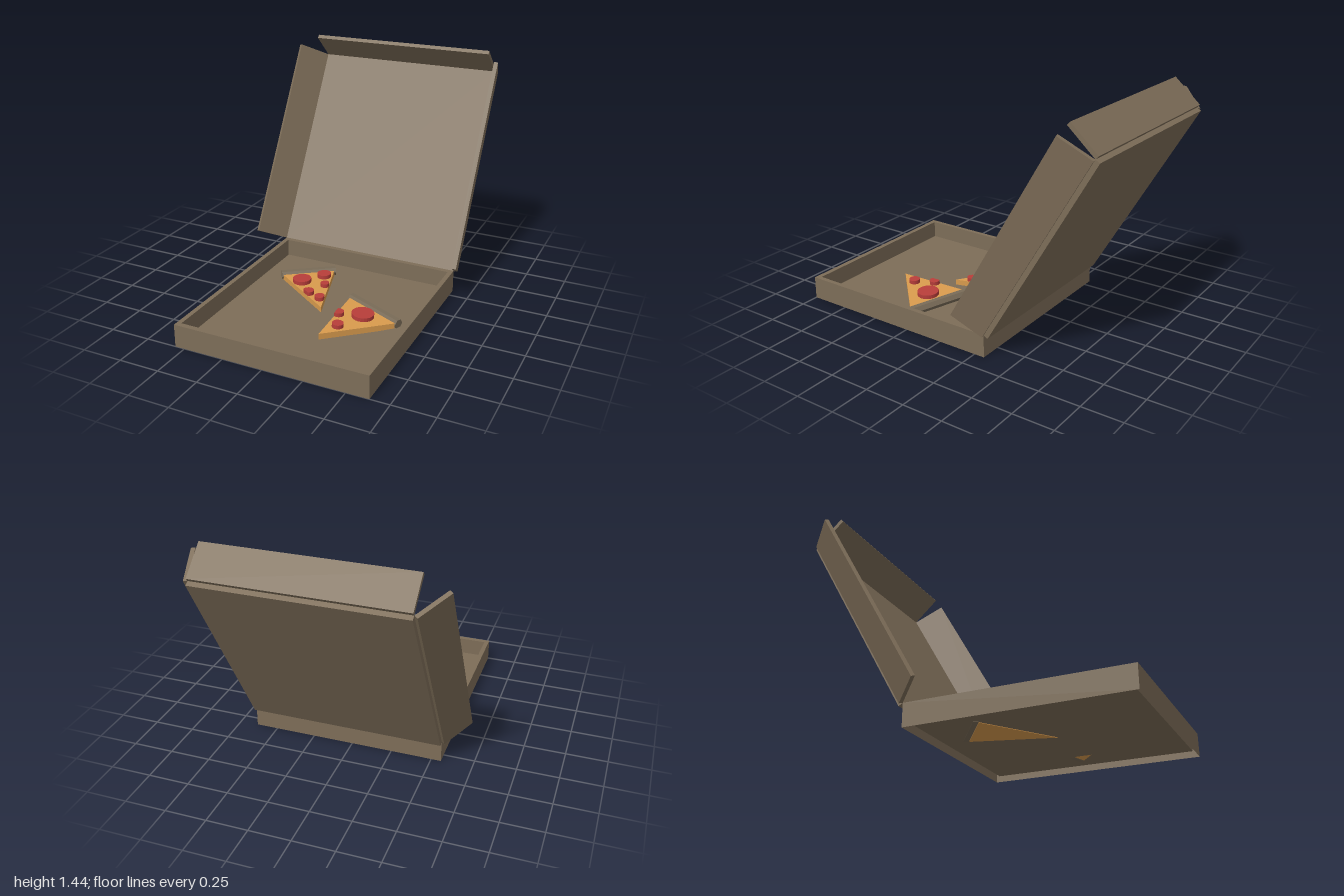
import * as THREE from 'three';

const mat = (name, color) => {
  const m = new THREE.MeshStandardMaterial({ color, flatShading: true, side: THREE.DoubleSide });
  m.name = name;
  return m;
};

const W = 1.195, D = 1.315, WALL = 0.14, FLOOR = 0.03, CX = 0.0375;
const FLAP = 0.215, FLAP_T = 0.025;
const rad = THREE.MathUtils.degToRad;

function add(parent, name, geometry, material, x = 0, y = 0, z = 0) {
  const mesh = new THREE.Mesh(geometry, material);
  mesh.name = name;
  mesh.position.set(x, y, z);
  parent.add(mesh);
  return mesh;
}

function pivot(parent, name, x, y, z) {
  const g = new THREE.Group();
  g.name = name;
  g.position.set(x, y, z);
  parent.add(g);
  return g;
}

// Flat plate from [x, z] points, rising in y
function plate(points, height) {
  const shape = new THREE.Shape(points.map(([x, z]) => new THREE.Vector2(x, -z)));
  return new THREE.ExtrudeGeometry(shape, { depth: height, bevelEnabled: false }).rotateX(-Math.PI / 2);
}

// Circle whose points are pushed back inside the triangle's edges
function clippedCircle(cx, cz, r, tri) {
  const mx = (tri[0][0] + tri[1][0] + tri[2][0]) / 3;
  const mz = (tri[0][1] + tri[1][1] + tri[2][1]) / 3;
  const points = [];
  for (let i = 0; i < 24; i++) {
    const a = (i / 24) * Math.PI * 2;
    let x = cx + r * Math.cos(a), z = cz + r * Math.sin(a);
    tri.forEach(([ax, az], k) => {
      const [bx, bz] = tri[(k + 1) % 3];
      const len = Math.hypot(bx - ax, bz - az);
      let nx = (bz - az) / len, nz = (ax - bx) / len;
      if ((mx - ax) * nx + (mz - az) * nz > 0) { nx = -nx; nz = -nz; }
      const d = (x - ax) * nx + (z - az) * nz;
      if (d > 0) { x -= d * nx; z -= d * nz; }
    });
    points.push([x, z]);
  }
  return points;
}

function addSlice(parent, name, { at, tilt, tri, crust, toppings }, mats) {
  const [px, py, pz] = at;
  const g = pivot(parent, name, px, py, pz);
  g.rotation.z = tilt;
  const local = ([x, z]) => [x - px, z - pz];
  const t = tri.map(local);
  add(g, 'cheeseWedge', plate(t, 0.037), mats.cheese);

  // Six-sided crust roll along the wide end
  const [a, b] = crust.map(local);
  const dx = b[0] - a[0], dz = b[1] - a[1];
  const roll = new THREE.CylinderGeometry(0.03, 0.03, Math.hypot(dx, dz), 6)
    .rotateZ(Math.PI / 2).rotateY(Math.atan2(-dz, dx));
  add(g, 'crust', roll, mats.crust, (a[0] + b[0]) / 2, 0.027, (a[1] + b[1]) / 2);

  // Sausage discs
  for (const [x, z, r] of toppings) {
    const [lx, lz] = local([x, z]);
    add(g, 'sausageDisc', plate(clippedCircle(lx, lz, r, t), 0.025), mats.sausage, 0, 0.036, 0);
  }
}

export function createModel() {
  const model = new THREE.Group();
  model.name = 'openPizzaBox';
  const mats = {
    card: mat('cardboard', 0x7d6d58),
    crust: mat('crust', 0x796b57),
    cheese: mat('cheese', 0xd99b4d),
    sausage: mat('sausage', 0xb83e3a),
  };

  // Tray: one folded sheet, outer wall, rim, inner wall and raised floor
  const q = Math.SQRT2, inner = q * 0.952;
  const profile = [[q, 0], [q, WALL], [inner, WALL], [inner, FLOOR], [0, FLOOR]]
    .map(([r, y]) => new THREE.Vector2(r, y));
  const tray = new THREE.LatheGeometry(profile, 4, Math.PI / 4).scale(W / 2, 1, D / 2);
  add(model, 'tray', tray.toNonIndexed(), mats.card, CX, 0, 1 - D / 2);

  // Lid, leaning back from the hinge
  const lid = pivot(model, 'lid', CX, WALL, 1 - D);
  lid.rotation.x = rad(-30);
  add(lid, 'lidPanel', new THREE.BoxGeometry(W, D, 0.03), mats.card, 0, D / 2, -0.015);

  // Side flaps, splayed by different amounts
  for (const [side, name, angle] of [[1, 'leftFlap', 12], [-1, 'rightFlap', 37.4]]) {
    const hinge = pivot(lid, name, side * W / 2, 0, 0);
    hinge.rotation.y = side * rad(angle);
    add(hinge, name + 'Board', new THREE.BoxGeometry(FLAP_T, D, FLAP), mats.card,
      side * FLAP_T / 2, D / 2, FLAP / 2);
  }

  // Tuck flap on the lid's free edge
  const tuck = pivot(lid, 'tuckFlap', 0, D, 0);
  tuck.rotation.x = rad(-12);
  add(tuck, 'tuckFlapBoard', new THREE.BoxGeometry(W, FLAP_T, FLAP), mats.card, 0, FLAP_T / 2, FLAP / 2);

  // Two leftover slices
  addSlice(model, 'backSlice', {
    at: [-0.15, 0.027, 0.09], tilt: 0,
    tri: [[-0.385, 0.058], [-0.113, -0.137], [0.03, 0.344]],
    crust: [[-0.4, 0.047], [-0.115, -0.157]],
    toppings: [[-0.135, -0.032, 0.044], [-0.23, 0.09, 0.058], [-0.071, 0.085, 0.028],
      [-0.119, 0.217, 0.035], [-0.024, 0.252, 0.032]],
  }, mats);
  addSlice(model, 'frontSlice', {
    at: [0.42, 0.03, 0.33], tilt: -0.05,
    tri: [[0.146, 0.185], [0.5, 0.33], [0.167, 0.651]],
    crust: [[0.146, 0.163], [0.515, 0.31]],
    toppings: [[0.304, 0.349, 0.067], [0.172, 0.402, 0.032], [0.225, 0.524, 0.034]],
  }, mats);

  return model;
}
